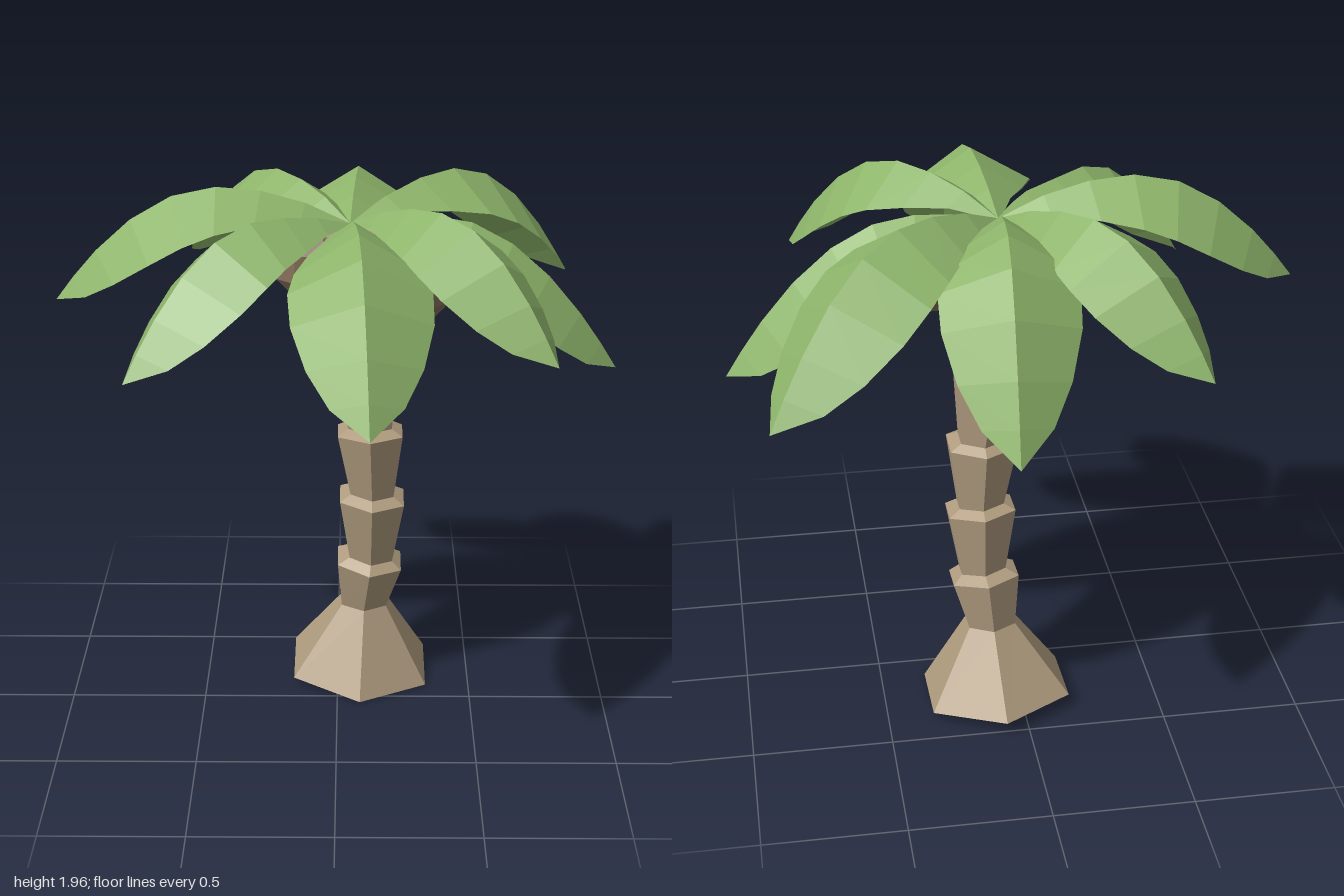
import * as THREE from 'three';
import { ConvexGeometry } from 'three/addons/geometries/ConvexGeometry.js';

const material = (color, side = THREE.FrontSide) =>
  new THREE.MeshStandardMaterial({ color, side, flatShading: true });

// Skin over rows of points; each row has the same number of points
function loft(rows, closed) {
  const n = rows[0].length, index = [];
  for (let r = 0; r < rows.length - 1; r++) {
    for (let i = 0; i < (closed ? n : n - 1); i++) {
      const j = (i + 1) % n;
      const a = r * n + i, b = r * n + j, c = a + n, d = b + n;
      index.push(a, b, d, a, d, c);
    }
  }
  const geometry = new THREE.BufferGeometry().setFromPoints(rows.flat());
  geometry.setIndex(index);
  const flat = geometry.toNonIndexed();
  flat.computeVertexNormals();
  return flat;
}

// Six-sided ring, tilted by slopes tx and tz
function ring([x, y, z, radius, tx = 0, tz = 0]) {
  return Array.from({ length: 6 }, (_, i) => {
    const a = (i * Math.PI) / 3;
    const dx = radius * Math.sin(a), dz = radius * Math.cos(a);
    return new THREE.Vector3(x + dx, y + tx * dx + tz * dz, z + dz);
  });
}

const CROWN = new THREE.Vector3(0.045, 1.83, -0.065);

// Half widths along a frond, by fraction of its reach
const WIDTHS = [[0, 0.01], [0.15, 0.08], [0.3, 0.16], [0.45, 0.215], [0.6, 0.24],
  [0.74, 0.235], [0.86, 0.19], [0.94, 0.12], [1, 0]];

// Arched frond with a raised midrib and two sloping halves
function frondGeometry(tip, peakY, peakAt, widthScale) {
  const reach = new THREE.Vector3(tip.x - CROWN.x, 0, tip.z - CROWN.z);
  const length = reach.length();
  const out = reach.clone().normalize();
  const side = new THREE.Vector3(out.z, 0, -out.x);
  const height = (f) => f < peakAt
    ? CROWN.y + (peakY - CROWN.y) * (1 - (1 - f / peakAt) ** 2)
    : peakY - (peakY - tip.y) * ((f - peakAt) / (1 - peakAt)) ** 2;
  const rows = WIDTHS.map(([f, w]) => {
    const half = w * widthScale;
    const mid = CROWN.clone().addScaledVector(out, f * length).setY(height(f));
    const slope = (height(f + 0.01) - height(f - 0.01)) / (0.02 * length);
    const down = out.clone().multiplyScalar(slope).setY(-1).normalize();
    const edge = (s) => mid.clone().addScaledVector(side, s * half).addScaledVector(down, half * 0.62);
    return [edge(-1), mid, edge(1)];
  });
  return loft(rows, false);
}

// Faceted nut with square faces and chamfered corners
function coconutGeometry(radius) {
  const near = radius * (Math.SQRT2 - 1), points = [];
  for (const sx of [-1, 1]) for (const sy of [-1, 1]) for (const sz of [-1, 1]) {
    points.push(new THREE.Vector3(sx * radius, sy * near, sz * near));
    points.push(new THREE.Vector3(sx * near, sy * radius, sz * near));
    points.push(new THREE.Vector3(sx * near, sy * near, sz * radius));
  }
  return new ConvexGeometry(points);
}

export function createModel() {
  const model = new THREE.Group();
  model.name = 'palmTree';
  const add = (parent, name, geometry, mat) => {
    const mesh = new THREE.Mesh(geometry, mat);
    mesh.name = name;
    parent.add(mesh);
    return mesh;
  };

  // Trunk: flared foot, then stacked segments that widen upward
  const trunk = [
    [0.085, 0.028, -0.24, 0, 0, 0],
    [0.085, 0.028, -0.24, 0.29, -0.055, -0.095],
    [0.1, 0.305, -0.215, 0.097, -0.02, -0.05],
    [0.12, 0.49, -0.187, 0.137, -0.09, -0.13],
    [0.125, 0.515, -0.18, 0.092, -0.09, -0.13],
    [0.128, 0.757, -0.163, 0.137, -0.06, -0.1],
    [0.128, 0.78, -0.163, 0.092, -0.06, -0.1],
    [0.12, 1.02, -0.152, 0.137, 0, 0],
    [0.12, 1.042, -0.158, 0.092, 0, 0],
    [0.092, 1.28, -0.152, 0.137, 0.13, 0],
    [0.09, 1.305, -0.155, 0.092, 0.13, 0],
    [0.052, 1.55, -0.135, 0.137, 0.15, 0.05],
    [0.05, 1.57, -0.13, 0.092, 0.15, 0.05],
    [0.045, 1.79, -0.08, 0.1, 0, 0],
    [0.045, 1.79, -0.08, 0, 0, 0],
  ];
  add(model, 'trunk', loft(trunk.map(ring), true), material(0xb09c7f));

  // Coconuts clustered under the crown
  const coconuts = new THREE.Group();
  coconuts.name = 'coconuts';
  model.add(coconuts);
  const nut = coconutGeometry(0.12), nutMaterial = material(0x86705c);
  [[0.275, 1.62, -0.02], [0.12, 1.62, -0.26], [-0.1, 1.67, -0.14], [0.1, 1.62, 0.13]]
    .forEach((p) => add(coconuts, 'coconut', nut, nutMaterial).position.set(...p));

  // Fronds: tip position, highest point, where it lies, width
  const fronds = new THREE.Group();
  fronds.name = 'fronds';
  model.add(fronds);
  const leaf = material(0x8db46a, THREE.DoubleSide);
  [
    [1.0, 1.3, -0.065, 1.86, 0.3, 0.98],
    [-1.0, 1.55, -0.065, 1.96, 0.44, 0.92],
    [0.11, 1.4, 0.96, 1.915, 0.44, 1],
    [0.11, 1.35, -0.97, 1.94, 0.42, 0.97],
    [0.88, 1.45, -0.8, 1.95, 0.42, 0.97],
    [-0.545, 1.525, -0.81, 1.945, 0.44, 0.9],
    [-0.71, 1.43, 0.51, 1.9, 0.42, 0.9],
    [0.73, 1.52, 0.59, 1.945, 0.44, 0.9],
  ].forEach(([x, y, z, peakY, peakAt, width]) =>
    add(fronds, 'frond', frondGeometry(new THREE.Vector3(x, y, z), peakY, peakAt, width), leaf));

  return model;
}
